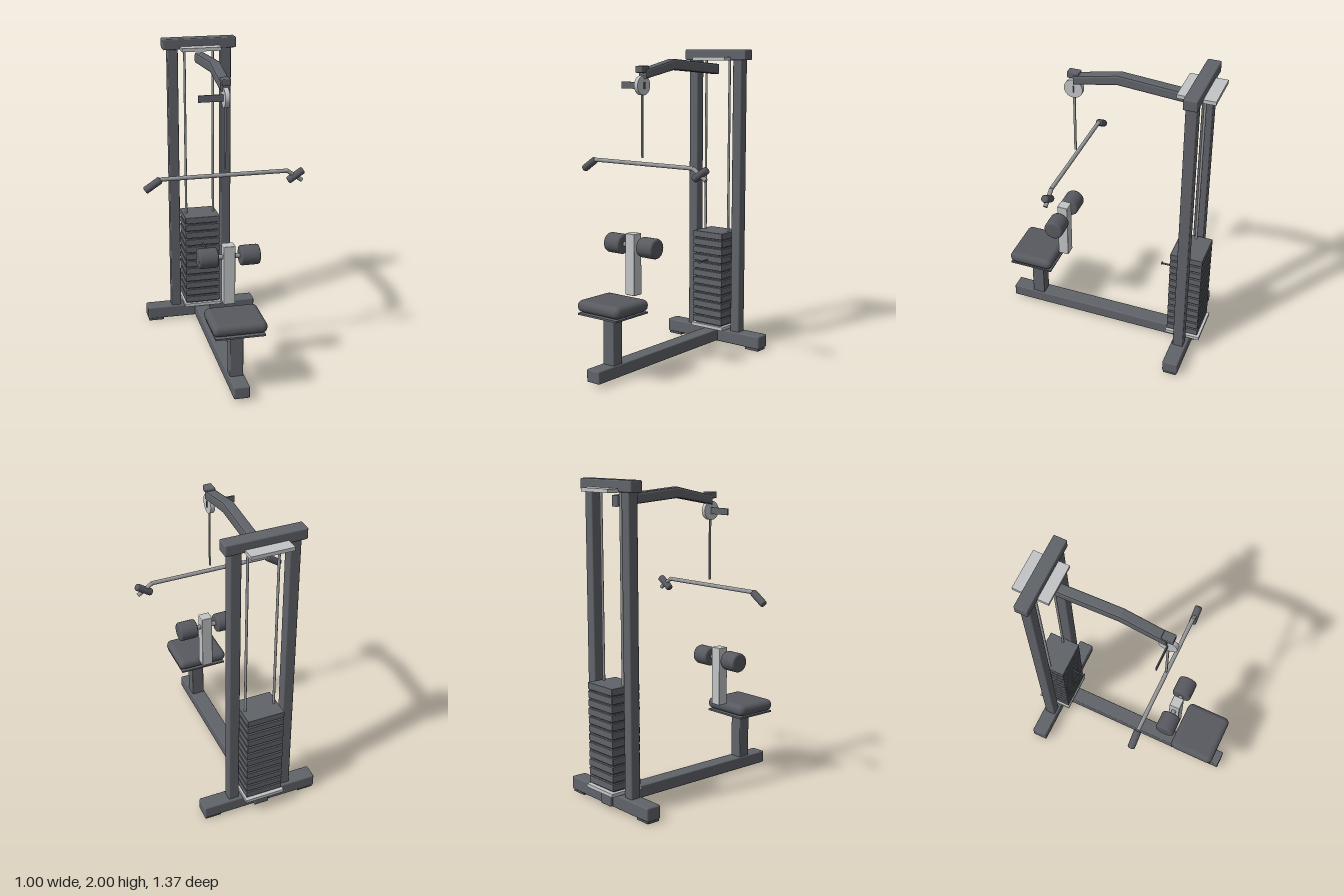
import * as THREE from 'three';
import { RoundedBoxGeometry } from 'three/addons/geometries/RoundedBoxGeometry.js';

const makeMaterial = (name, color) => {
  const m = new THREE.MeshStandardMaterial({ color });
  m.name = name;
  return m;
};

export function createModel() {
  const frame = makeMaterial('frame grey', 0x606369);
  const pad = makeMaterial('pad grey', 0x585a60);
  const plate = makeMaterial('light metal', 0xc2c4c6);
  const steel = makeMaterial('steel', 0x96989b);
  const model = new THREE.Group();
  model.name = 'pulldownMachine';

  const add = (name, geometry, material) => {
    const mesh = new THREE.Mesh(geometry, material);
    mesh.name = name;
    model.add(mesh);
    return mesh;
  };
  // Box given by its limits on each axis, optionally with rounded edges
  const box = (name, mat, [x0, x1], [y0, y1], [z0, z1], r = 0) => {
    const s = [x1 - x0, y1 - y0, z1 - z0];
    const g = r ? new RoundedBoxGeometry(...s, 3, r) : new THREE.BoxGeometry(...s);
    g.translate((x0 + x1) / 2, (y0 + y1) / 2, (z0 + z1) / 2);
    return add(name, g, mat);
  };
  // Round bar between two points
  const place = (mesh, a, b) => {
    const dir = b.clone().sub(a);
    mesh.position.copy(a).add(b).multiplyScalar(0.5);
    mesh.quaternion.setFromUnitVectors(new THREE.Vector3(0, 1, 0), dir.normalize());
    return mesh;
  };
  const bar = (name, mat, r, p, q) => {
    const a = new THREE.Vector3(...p), b = new THREE.Vector3(...q);
    return place(add(name, new THREE.CylinderGeometry(r, r, a.distanceTo(b), 20), mat), a, b);
  };
  // Bar with softened ends, turned from a profile
  const padBar = (name, r, e, p, q) => {
    const a = new THREE.Vector3(...p), b = new THREE.Vector3(...q);
    const h = a.distanceTo(b) / 2;
    const profile = [[0, -h], [r - e, -h], [r - e * 0.3, -h + e * 0.3], [r, -h + e],
      [r, h - e], [r - e * 0.3, h - e * 0.3], [r - e, h], [0, h]];
    const g = new THREE.LatheGeometry(profile.map(([x, y]) => new THREE.Vector2(x, y)), 28);
    return place(add(name, g, pad), a, b);
  };

  // Base and upright frame
  box('baseBeam', frame, [-0.05, 0.05], [0.02, 0.1], [-0.64, 0.685], 0.008);
  box('baseCrossBeam', frame, [-0.385, 0.385], [0.015, 0.102], [-0.62, -0.518], 0.01);
  box('topBeam', frame, [-0.245, 0.245], [1.93, 2], [-0.61, -0.525], 0.008);
  for (const s of [-1, 1]) {
    box('foot', pad, [s * 0.325 - 0.052, s * 0.325 + 0.052], [0, 0.02], [-0.61, -0.525]);
    box('upright', frame, [s * 0.178 - 0.034, s * 0.178 + 0.034], [0.09, 1.94], [-0.601, -0.532], 0.008);
    bar('guideRod', steel, 0.008, [s * 0.095, 0.12, -0.567], [s * 0.095, 1.94, -0.567]);
  }

  // Weight stack between its end plates
  box('lowerGuidePlate', plate, [-0.13, 0.13], [0.113, 0.135], [-0.685, -0.455]);
  box('upperGuidePlate', plate, [-0.13, 0.13], [1.927, 1.95], [-0.685, -0.455]);
  for (let i = 0; i < 12; i++) {
    const y = 0.145 + i * 0.0538;
    box('weightPlate', frame, [-0.12, 0.12], [y, y + 0.043], [-0.67, -0.46], 0.003);
  }
  box('stackCore', pad, [-0.105, 0.105], [0.135, 0.77], [-0.655, -0.475]);
  bar('selectorPin', pad, 0.006, [0, 0.587, -0.48], [0, 0.587, -0.37]);
  bar('selectorPinHead', pad, 0.01, [0, 0.587, -0.378], [0, 0.587, -0.37]);

  // Bent overhead arm, extruded across x from its side outline
  const outline = [[-0.54, 1.838], [-0.07, 1.872], [0.215, 1.82], [0.215, 1.878], [-0.07, 1.94], [-0.54, 1.905]];
  const arm = new THREE.ExtrudeGeometry(
    new THREE.Shape(outline.map(([z, y]) => new THREE.Vector2(z, y))),
    { depth: 0.042, bevelSize: 0.013, bevelOffset: -0.013, bevelThickness: 0.013, bevelSegments: 2 });
  arm.translate(0, 0, -0.021).rotateY(-Math.PI / 2);
  add('overheadArm', arm, frame);
  box('armEndCap', frame, [-0.026, 0.026], [1.858, 1.9], [0.178, 0.252], 0.006);

  // Pulley, bracket and cable
  bar('pulley', plate, 0.06, [-0.014, 1.782, 0.218], [0.014, 1.782, 0.218]);
  box('pulleyBracket', frame, [-0.165, 0.02], [1.76, 1.802], [0.212, 0.22]);
  box('cable', steel, [-0.004, 0.004], [1.34, 1.78], [0.21, 0.224]);

  // Pull bar with angled ends and grips
  const z = 0.216;
  bar('pullBar', steel, 0.013, [-0.395, 1.302, z], [0.395, 1.302, z]);
  for (const s of [-1, 1]) {
    bar('pullBarEnd', steel, 0.013, [s * 0.39, 1.302, z], [s * 0.485, 1.236, z]);
    padBar('grip', 0.023, 0.008, [s * 0.445 - 0.048, 1.237, z], [s * 0.445 + 0.048, 1.301, z]);
  }

  // Knee support
  box('kneePost', plate, [-0.037, 0.037], [0.495, 0.882], [0.273, 0.343], 0.005);
  bar('rollerAxle', steel, 0.015, [-0.1, 0.805, 0.308], [0.1, 0.805, 0.308]);
  for (const s of [-1, 1]) {
    padBar('kneeRoller', 0.063, 0.013, [s * 0.132 - 0.062, 0.805, 0.308], [s * 0.132 + 0.062, 0.805, 0.308]);
  }

  // Seat
  box('seatPost', frame, [-0.042, 0.042], [0.09, 0.415], [0.462, 0.545], 0.006);
  box('seatPlate', frame, [-0.155, 0.155], [0.41, 0.421], [0.355, 0.645]);
  box('seatCushion', pad, [-0.17, 0.17], [0.424, 0.5], [0.35, 0.65], 0.036);

  return model;
}
